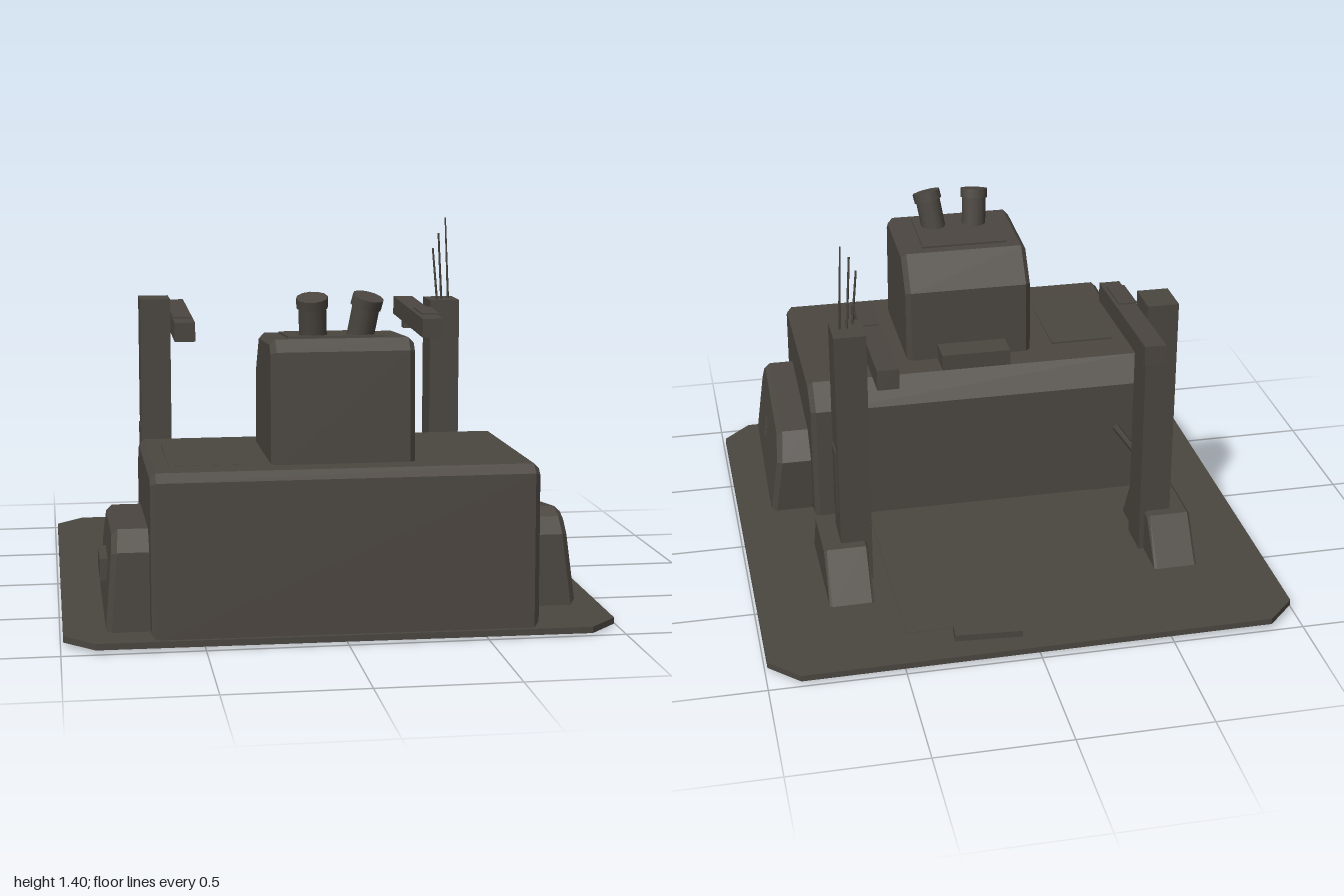
import * as THREE from 'three';

export function createModel() {
  const root = new THREE.Group();
  const metal = new THREE.MeshStandardMaterial({ color: 0x4b4640 });
  metal.name = 'dark grey brown metal';

  function add(name, geometry, parent = root) {
    const mesh = new THREE.Mesh(geometry, metal);
    mesh.name = name;
    parent.add(mesh);
    return mesh;
  }

  // Box given by its limits on each axis
  function box(name, x0, x1, y0, y1, z0, z1) {
    const mesh = add(name, new THREE.BoxGeometry(x1 - x0, y1 - y0, z1 - z0));
    mesh.position.set((x0 + x1) / 2, (y0 + y1) / 2, (z0 + z1) / 2);
    return mesh;
  }

  // Side profile of [z, y] points extruded from x0 to x1 with a small bevel
  function profile(name, points, x0, x1, bevel, rule) {
    const shape = new THREE.Shape(points.map(([z, y]) => new THREE.Vector2(-z, y)));
    const geo = new THREE.ExtrudeGeometry(shape, {
      depth: x1 - x0 - 2 * bevel, bevelEnabled: bevel > 0, bevelSize: bevel,
      bevelThickness: bevel, bevelOffset: -bevel, bevelSegments: 1,
    });
    geo.rotateY(Math.PI / 2);
    geo.translate(x0 + bevel, 0, 0);
    if (rule) {
      const p = geo.attributes.position;
      for (let i = 0; i < p.count; i++) p.setX(i, rule(p.getX(i), p.getY(i)));
      geo.computeVertexNormals();
    }
    return add(name, geo);
  }

  // Straight round bar between two points
  function rod(name, a, b, r0, r1 = r0, sides = 6) {
    const from = new THREE.Vector3(...a), to = new THREE.Vector3(...b);
    const dir = to.clone().sub(from);
    const mesh = add(name, new THREE.CylinderGeometry(r1, r0, dir.length(), sides));
    mesh.position.copy(from).add(to).multiplyScalar(0.5);
    mesh.quaternion.setFromUnitVectors(new THREE.Vector3(0, 1, 0), dir.normalize());
    return mesh;
  }

  // Ground slab with cut corners
  const e = 0.99, c = 0.88;
  const outline = [[-c, -e], [c, -e], [e, -c], [e, c], [c, e], [-c, e], [-e, c], [-e, -c]];
  const slab = new THREE.ExtrudeGeometry(
    new THREE.Shape(outline.map(([x, y]) => new THREE.Vector2(x, y))),
    { depth: 0.023, bevelEnabled: false });
  slab.rotateX(-Math.PI / 2);
  const base = add('groundSlab', slab);
  base.position.y = 0.074;
  base.rotation.set(0.004, 0, -0.004);

  // Landing pad and rear threshold
  box('landingPad', -0.46, 0.47, 0.092, 0.1, -0.8, 0.1);
  box('rearThreshold', -0.35, 0.37, 0.09, 0.098, -0.98, -0.8);
  box('thresholdStep', 0.05, 0.3, 0.09, 0.125, -0.9, -0.82).rotation.y = -0.08;

  // Main hall
  profile('mainHall', [[0.975, 0.09], [0.96, 0.645], [0.925, 0.675], [0.2, 0.665],
    [0.105, 0.575], [0.1, 0.09]], -0.685, 0.69, 0.02);
  box('roofHatch', -0.61, -0.35, 0.665, 0.674, 0.35, 0.8);

  // Upper cabin
  profile('upperCabin', [[0.83, 0.65], [0.815, 1.07], [0.775, 1.112], [0.42, 1.092],
    [0.32, 0.96], [0.31, 0.65]], -0.25, 0.265, 0.02);
  const hatch = box('cabinRoofPlate', -0.18, 0.17, 1.1, 1.109, 0.46, 0.74);
  hatch.rotation.x = -0.055;
  box('cabinRearStep', -0.14, 0.14, 0.65, 0.73, 0.2, 0.33);

  // Chimneys with wider collars
  for (const [x0, x1, z0, z1] of [[-0.08, -0.088, 0.66, 0.69], [0.085, 0.11, 0.66, 0.69]]) {
    rod('chimney', [x0, 1.08, z0], [x1, 1.235, z1], 0.05, 0.05, 12);
    const dx = (x1 - x0) * 0.15, dz = (z1 - z0) * 0.15;
    rod('chimneyCollar', [x1 - dx, 1.215, z1 - dz], [x1 + dx, 1.25, z1 + dz], 0.057, 0.057, 12);
  }

  // Side annexes, leaning inwards with height
  profile('rightAnnex', [[0.86, 0.085], [0.85, 0.38], [0.78, 0.45], [0.27, 0.43],
    [0.17, 0.32], [0.17, 0.085]], -0.84, -0.66, 0.02,
  (x, y) => (x < -0.75 ? x + 0.08 * (y - 0.1) : x));
  profile('leftAnnex', [[0.87, 0.14], [0.86, 0.4], [0.83, 0.46], [0.78, 0.487],
    [0.27, 0.42], [0.185, 0.32], [0.205, 0.06]], 0.67, 0.855, 0.02,
  (x, y) => (x > 0.77 ? x - 0.13 * (y - 0.1) : x));

  // Annex vents
  box('rightVentFrame', -0.852, -0.81, 0.23, 0.31, 0.42, 0.64);
  for (let i = 0; i < 4; i++) {
    const y = 0.24 + i * 0.022;
    box('leftVentSlat', 0.81, 0.845 - 0.13 * (y - 0.1) + 0.012, y, y + 0.008, 0.56, 0.63);
  }

  // Mirrored gantry posts with feet, arms and feed pipes
  for (const s of [-1, 1]) {
    const span = (a, b) => (s > 0 ? [a, b] : [-b, -a]);
    const top = s > 0 ? 1.13 : 1.15;
    profile('postFoot', [[-0.08, 0.085], [-0.175, 0.27], [-0.44, 0.27], [-0.575, 0.085]],
      ...span(0.55, 0.72), 0.01);
    box('post', ...span(0.53, 0.65), 0.09, top, -0.4, -0.25);
    const arm = box('postArm', ...span(0.45, 0.53), 1.02, 1.095, -0.65, 0);
    arm.rotation.x = 0.035;
    box('armLamp', ...span(0.47, 0.515), 0.985, 1.03, -0.56, -0.515);
    const plate = box('armPlate', ...span(0.46, 0.53), 1.095, 1.101, -0.25, -0.07);
    plate.rotation.x = 0.03;
    rod('feedPipe', [s * 0.59, 0.4, -0.27], [s * 0.565, 0.38, 0.12], 0.014);
    box('postPanel', ...span(0.645, 0.655), 0.38, 0.64, -0.36, -0.27);
  }

  // Antennas on the left post
  rod('antenna', [0.565, 1.12, -0.285], [0.545, 1.34, -0.285], 0.005, 0.004);
  rod('antenna', [0.59, 1.12, -0.32], [0.57, 1.4, -0.295], 0.005, 0.004);
  rod('antenna', [0.618, 1.12, -0.32], [0.606, 1.46, -0.335], 0.005, 0.003);

  return root;
}
